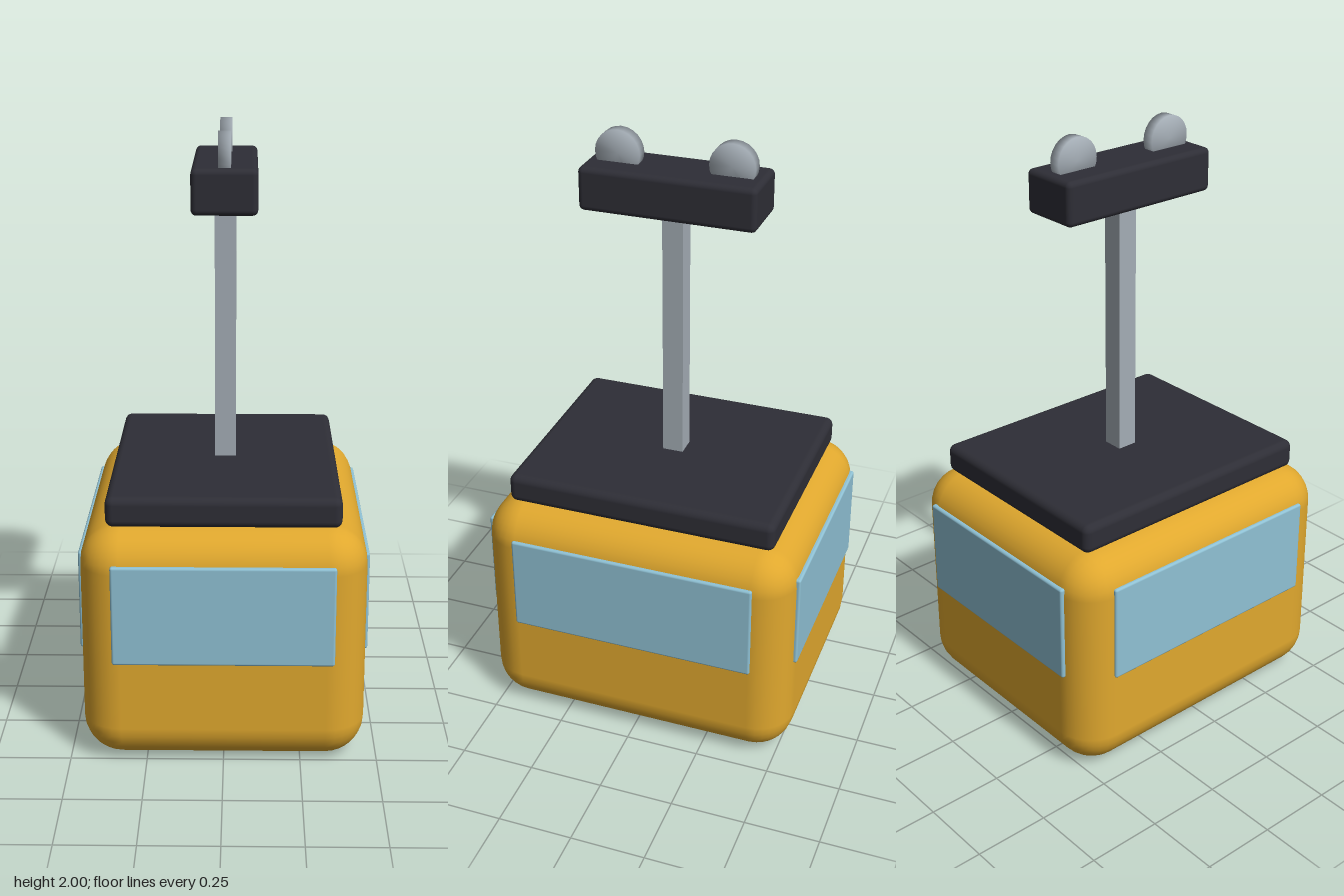
import * as THREE from 'three';
import { RoundedBoxGeometry } from 'three/addons/geometries/RoundedBoxGeometry.js';
import { mergeVertices } from 'three/addons/utils/BufferGeometryUtils.js';

const material = (name, color) => {
  const m = new THREE.MeshStandardMaterial({ color });
  m.name = name;
  return m;
};

export function createModel() {
  const group = new THREE.Group();
  const yellow = material('cabin yellow', 0xe0a82e);
  const dark = material('dark trim', 0x2e2e36);
  const steel = material('steel grey', 0xa4adb5);
  const glass = material('window blue', 0x8fc1d4);

  const add = (name, geometry, mat, x, y, z) => {
    const mesh = new THREE.Mesh(geometry, mat);
    mesh.name = name;
    mesh.position.set(x, y, z);
    group.add(mesh);
    return mesh;
  };

  // Cabin and roof plate
  add('cabin', new RoundedBoxGeometry(0.92, 0.794, 1.08, 4, 0.13), yellow, 0, 0.397, 0);
  add('roof', new RoundedBoxGeometry(0.75, 0.1, 0.92, 3, 0.025), dark, 0, 0.842, 0);

  // Windows, one pair on each axis
  for (const s of [-1, 1]) {
    add(s > 0 ? 'frontWindow' : 'backWindow',
      new RoundedBoxGeometry(0.71, 0.335, 0.03, 2, 0.008), glass, 0, 0.528, s * 0.534);
    add(s > 0 ? 'leftWindow' : 'rightWindow',
      new RoundedBoxGeometry(0.03, 0.335, 0.836, 2, 0.008), glass, s * 0.452, 0.528, 0);
  }

  // Hanger arm and grip bar
  add('hangerArm', new THREE.BoxGeometry(0.07, 0.9, 0.07), steel, 0, 1.32, 0);
  add('gripBar', new RoundedBoxGeometry(0.208, 0.144, 0.584, 3, 0.018), dark, 0, 1.823, 0);

  // Cable wheels with softly shaded rims
  let wheel = new THREE.CylinderGeometry(0.075, 0.075, 0.04, 24).rotateZ(Math.PI / 2);
  wheel.deleteAttribute('normal');
  wheel.deleteAttribute('uv');
  wheel = mergeVertices(wheel);
  wheel.computeVertexNormals();
  for (const s of [-1, 1]) {
    add(s > 0 ? 'frontWheel' : 'backWheel', wheel, steel, 0, 1.925, s * 0.188);
  }
  return group;
}
